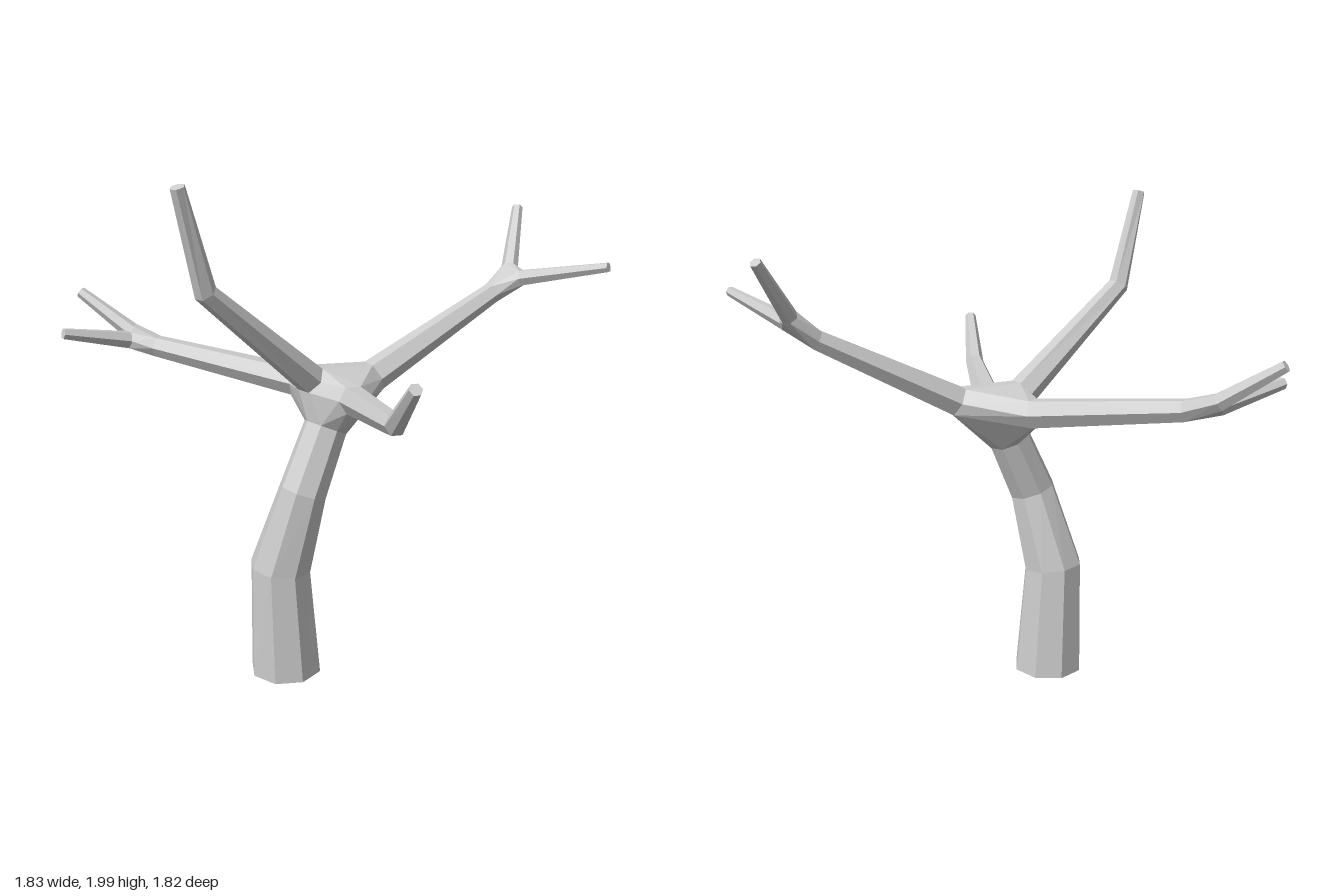
import * as THREE from 'three';
import { ConvexGeometry } from 'three/addons/geometries/ConvexGeometry.js';

const material = new THREE.MeshStandardMaterial({ color: 0xcccccc, flatShading: true });

// One ring of points per [x, y, z, radius] station, square to the path.
function makeRings(path, sides) {
  const centres = path.map(([x, y, z]) => new THREE.Vector3(x, y, z));
  const ref = sides === 8 ? new THREE.Vector3(0, 0, 1) : new THREE.Vector3(0, 1, 0);
  return centres.map((c, i) => {
    const dir = new THREE.Vector3();
    if (i > 0) dir.add(c.clone().sub(centres[i - 1]).normalize());
    if (i < centres.length - 1) dir.add(centres[i + 1].clone().sub(c).normalize());
    if (c.y === 0) dir.set(0, 1, 0); // flat foot
    dir.normalize();
    const u = dir.clone().cross(ref).normalize();
    const v = dir.clone().cross(u);
    return Array.from({ length: sides }, (_, j) => {
      const a = (j / sides) * Math.PI * 2;
      return c.clone()
        .addScaledVector(u, Math.cos(a) * path[i][3])
        .addScaledVector(v, Math.sin(a) * path[i][3]);
    });
  });
}

// Skin the rings and close both ends.
function loft(rings) {
  const pts = [];
  const n = rings[0].length;
  for (let i = 0; i < rings.length - 1; i++) {
    for (let j = 0; j < n; j++) {
      const k = (j + 1) % n;
      const [a, b, c, d] = [rings[i][j], rings[i][k], rings[i + 1][k], rings[i + 1][j]];
      pts.push(a, b, c, a, c, d);
    }
  }
  const first = rings[0], last = rings[rings.length - 1];
  for (let j = 1; j < n - 1; j++) {
    pts.push(first[0], first[j + 1], first[j], last[0], last[j], last[j + 1]);
  }
  const geometry = new THREE.BufferGeometry().setFromPoints(pts);
  geometry.computeVertexNormals();
  return geometry;
}

export function createModel() {
  const tree = new THREE.Group();
  tree.name = 'bareTree';

  const add = (name, geometry) => {
    const mesh = new THREE.Mesh(geometry, material);
    mesh.name = name;
    tree.add(mesh);
  };
  const limb = (name, path, sides = 6) => {
    const rings = makeRings(path, sides);
    add(name, loft(rings));
    return { start: rings[0], end: rings[rings.length - 1] };
  };
  // Faceted joint wrapped around the rings that meet there
  const joint = (name, ...rings) => add(name, new ConvexGeometry(rings.flat()));

  // Bent trunk
  const trunk = limb('trunk', [
    [-0.295, 0, 0.027, 0.145],
    [-0.313, 0.46, 0.03, 0.123],
    [-0.24, 0.785, 0.09, 0.095],
    [-0.128, 1.02, 0.07, 0.087],
  ], 8);

  // Main branches
  const left = limb('leftBranch', [
    [0.1, 1.195, 0.06, 0.065],
    [0.65, 1.47, 0.08, 0.042],
  ]);
  const front = limb('frontBranch', [
    [-0.09, 1.16, 0.22, 0.058],
    [-0.215, 1.215, 0.70, 0.04],
    [-0.268, 1.395, 0.895, 0.024],
  ]);
  const back = limb('backBranch', [
    [-0.15, 1.165, -0.13, 0.062],
    [-0.535, 1.25, -0.61, 0.045],
  ]);
  const right = limb('rightBranch', [
    [-0.18, 1.215, 0.05, 0.062],
    [-0.64, 1.61, 0.135, 0.042],
    [-0.752, 1.985, 0.193, 0.027],
  ]);
  joint('crown', trunk.end, left.start, front.start, back.start, right.start);

  // Forked ends: a pair of twigs on the left and back branches
  const leftUp = limb('leftUpperTwig', [[0.755, 1.565, 0.06, 0.034], [0.895, 1.785, -0.08, 0.022]]);
  const leftOut = limb('leftOuterTwig', [[0.75, 1.535, 0.15, 0.034], [0.9, 1.615, 0.485, 0.02]]);
  joint('leftFork', left.end, leftUp.start, leftOut.start);

  const backUp = limb('backUpperTwig', [[-0.605, 1.3, -0.725, 0.036], [-0.755, 1.45, -0.895, 0.023]]);
  const backOut = limb('backOuterTwig', [[-0.635, 1.275, -0.68, 0.038], [-0.91, 1.335, -0.67, 0.023]]);
  joint('backFork', back.end, backUp.start, backOut.start);

  return tree;
}
